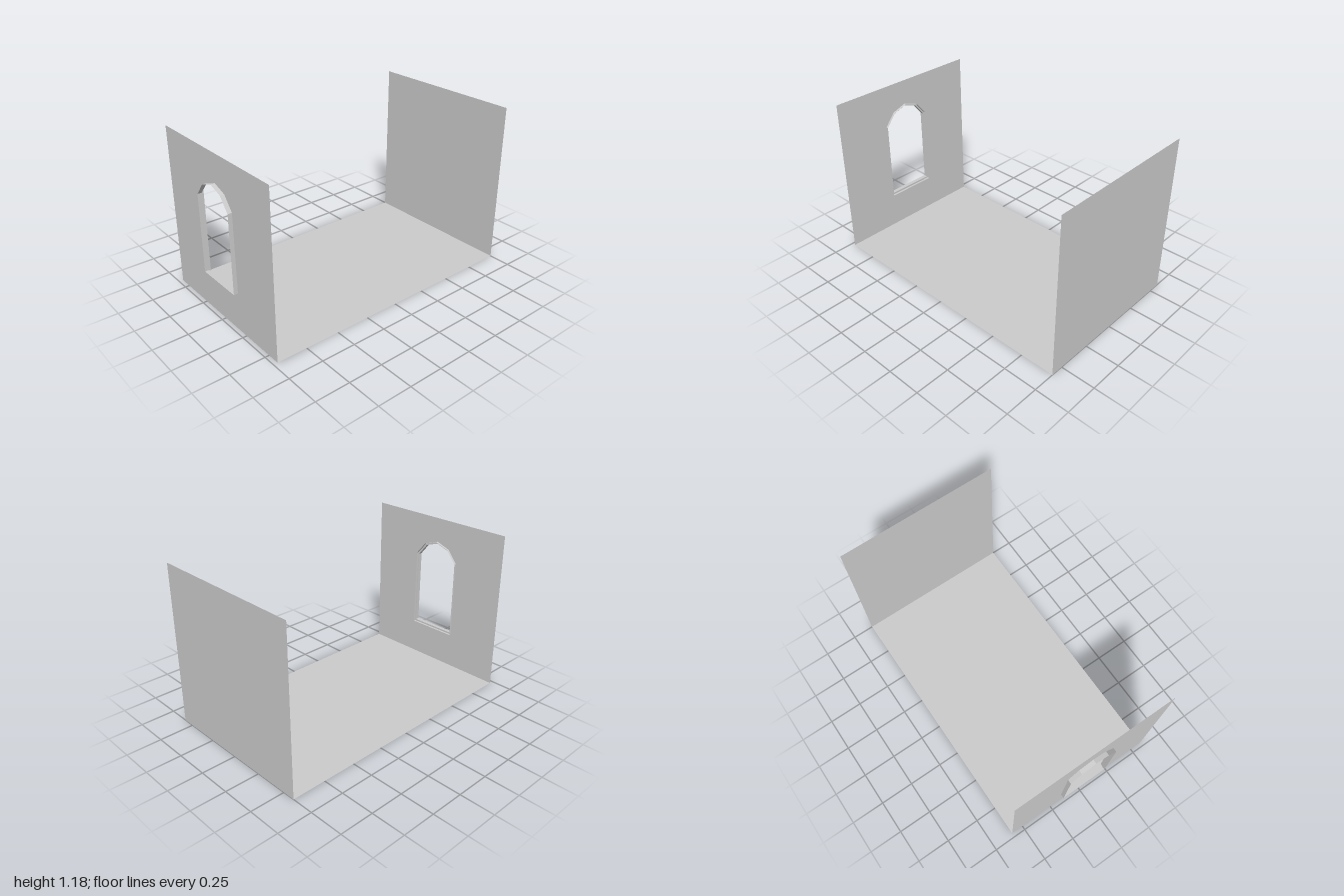
import * as THREE from 'three';

const W = 1.18, H = 1.18, BACK = -1, FRONT = 0.97;

// Pointed-arch outlines as [x, y] corners, right half mirrored to the left
const mirror = (half) => [...half, ...half.slice(0, -1).reverse().map(([x, y]) => [-x, y])];
const OUTER = mirror([[0.185, 0.272], [0.185, 0.864], [0.108, 0.958], [0, 0.995]]);
const INNER = mirror([[0.178, 0.284], [0.178, 0.85], [0.104, 0.943], [0, 0.979]]);

// Loft through the closed outlines, each placed at its own depth
function loft(sections) {
  const pos = [];
  const n = sections[0].outline.length;
  for (let s = 0; s < sections.length - 1; s++) {
    const a = sections[s], b = sections[s + 1];
    for (let i = 0; i < n; i++) {
      const j = (i + 1) % n;
      const a0 = [...a.outline[i], a.z], a1 = [...a.outline[j], a.z];
      const b0 = [...b.outline[i], b.z], b1 = [...b.outline[j], b.z];
      pos.push(...a0, ...a1, ...b1, ...a0, ...b1, ...b0);
    }
  }
  const geo = new THREE.BufferGeometry();
  geo.setAttribute('position', new THREE.Float32BufferAttribute(pos, 3));
  geo.computeVertexNormals();
  return geo;
}

export function createModel() {
  const group = new THREE.Group();
  const material = new THREE.MeshStandardMaterial({
    color: 0xcccccc, flatShading: true, side: THREE.DoubleSide,
  });
  const add = (name, geometry) => {
    const mesh = new THREE.Mesh(geometry, material);
    mesh.name = name;
    group.add(mesh);
    return mesh;
  };

  // Floor between the two end walls
  const floor = add('floor', new THREE.PlaneGeometry(W, FRONT - BACK));
  floor.rotation.x = -Math.PI / 2;
  floor.position.z = (FRONT + BACK) / 2;

  // Plain back wall
  add('backWall', new THREE.PlaneGeometry(W, H)).position.set(0, H / 2, BACK);

  // Front wall with the arched opening
  const wall = new THREE.Shape([[-W / 2, 0], [W / 2, 0], [W / 2, H], [-W / 2, H]]
    .map(([x, y]) => new THREE.Vector2(x, y)));
  wall.holes.push(new THREE.Path(OUTER.map(([x, y]) => new THREE.Vector2(x, y))));
  add('frontWall', new THREE.ShapeGeometry(wall)).position.z = FRONT;

  // Thin window lining: wide inside the wall, stepped in where it stands proud
  add('windowFrame', loft([
    { outline: OUTER, z: 0.953 },
    { outline: OUTER, z: FRONT },
    { outline: INNER, z: FRONT },
    { outline: INNER, z: 1 },
  ]));

  return group;
}
